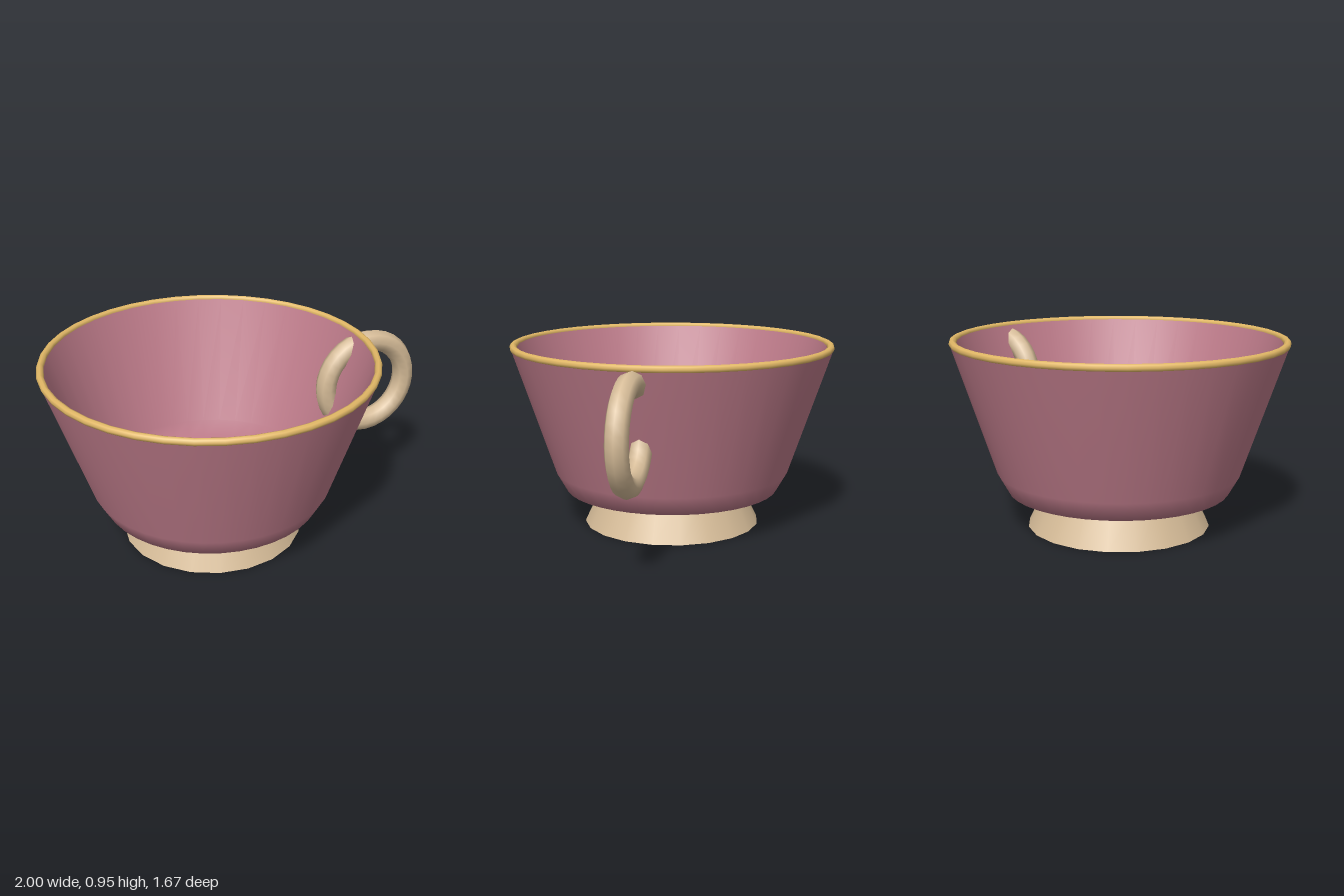
import * as THREE from 'three';

export function createModel() {
  const glaze = new THREE.MeshStandardMaterial({ color: 0xbf7c8b, side: THREE.DoubleSide });
  glaze.name = 'rose glaze';
  const clay = new THREE.MeshStandardMaterial({ color: 0xd6bc98 });
  clay.name = 'tan clay';
  const gold = new THREE.MeshStandardMaterial({ color: 0xe2b866 });
  gold.name = 'gold trim';

  const model = new THREE.Group();
  model.name = 'teacup';
  const add = (name, geometry, material, x, y) => {
    const mesh = new THREE.Mesh(geometry, material);
    mesh.name = name;
    mesh.position.set(x, y, 0);
    model.add(mesh);
    return mesh;
  };
  const cupX = -0.168;
  const lathe = (points) =>
    new THREE.LatheGeometry(points.map(([r, y]) => new THREE.Vector2(r, y)), 40);

  // Outer wall with a short bevel at the bottom, and the inner wall a little inside it
  add('outerBowl', lathe([[0, 0.187], [0.557, 0.187], [0.612, 0.285], [0.83, 0.938]]), glaze, cupX, 0);
  add('innerBowl', lathe([[0, 0.22], [0.522, 0.22], [0.577, 0.3], [0.795, 0.938]]), glaze, cupX, 0);

  // Gilded lip
  add('rim', new THREE.TorusGeometry(0.815, 0.018, 8, 40), gold, cupX, 0.937).rotation.x = Math.PI / 2;

  // Flared foot
  add('foot', new THREE.CylinderGeometry(0.37, 0.46, 0.188, 20), clay, cupX, 0.094);

  // Ring handle that passes through both walls
  add('handle', new THREE.TorusGeometry(0.231, 0.055, 8, 32), clay, 0.713, 0.65);

  return model;
}
